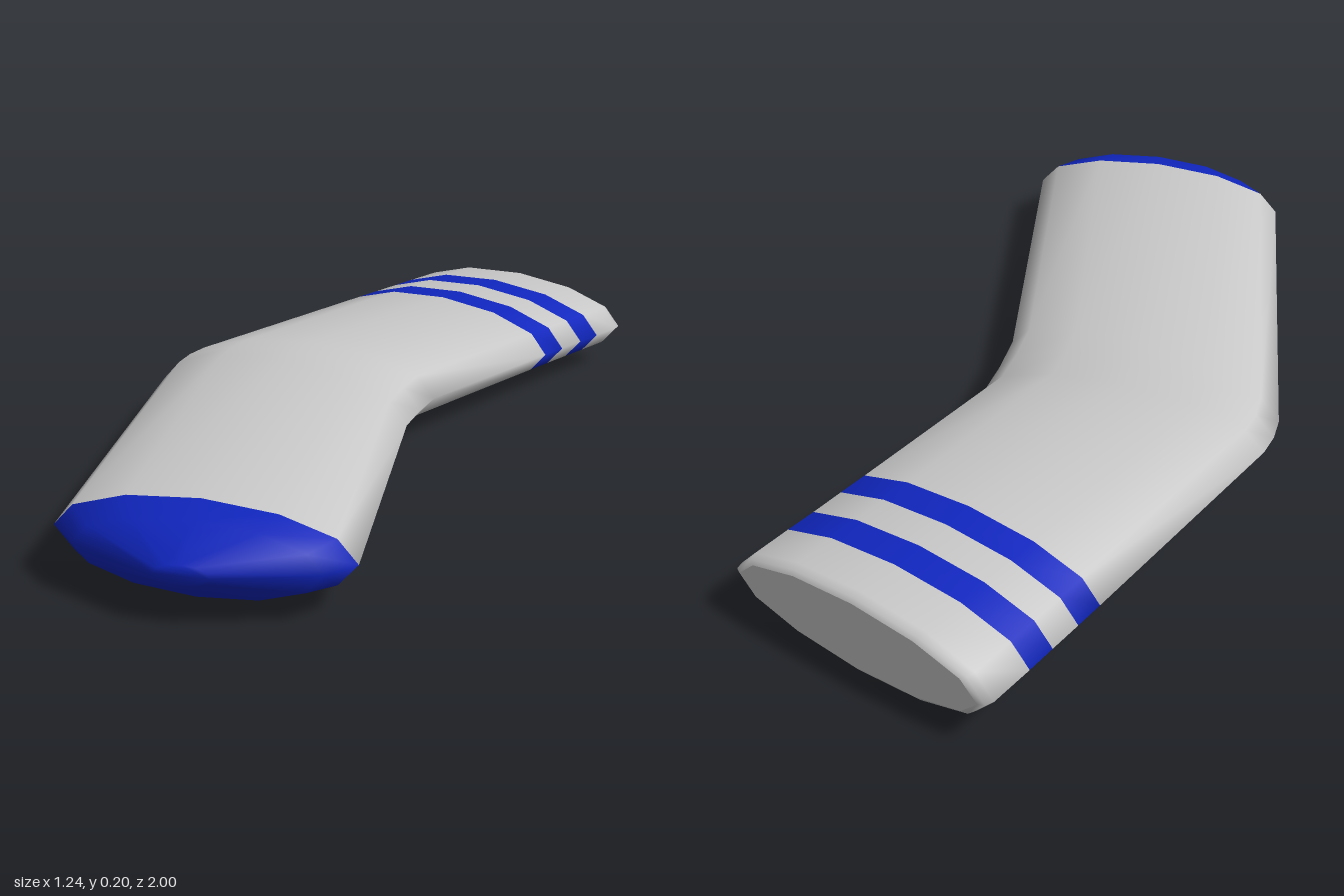
import * as THREE from 'three';

const SIDES = 12;
const MID_Y = 0.1;

// Each station: right edge (x, z), left edge (x, z), half thickness
const LEG = [
  [-0.603, -1.0, 0.025, -1.0, 0.08],
  [-0.617, -0.993, 0.039, -0.993, 0.09],
  [-0.623, -0.975, 0.045, -0.975, 0.095],
  [-0.619, -0.865, 0.048, -0.88, 0.095],
  [-0.615, -0.79, 0.049, -0.805, 0.095],
  [-0.611, -0.705, 0.052, -0.72, 0.095],
  [-0.607, -0.63, 0.054, -0.645, 0.095],
  [-0.57, 0.01, 0.07, -0.18, 0.097],
  [-0.556, 0.07, 0.105, -0.085, 0.098],
  [-0.53, 0.13, 0.152, 0.02, 0.097],
  [0.02, 0.955, 0.617, 0.715, 0.095],
];
const TOE = [
  [0.02, 0.955, 0.617, 0.715, 0.095],
  [0.12, 0.995, 0.603, 0.80, 0.078],
  [0.35, 0.998, 0.455, 0.95, 0.022],
];

// Elliptical rings lofted through the stations, with shared smooth normals
function loft(stations) {
  const pos = [];
  for (const [ax, az, bx, bz, h] of stations) {
    for (let j = 0; j < SIDES; j++) {
      const a = (j / SIDES) * Math.PI * 2;
      const t = (1 + Math.cos(a)) / 2;
      pos.push(ax + (bx - ax) * t, MID_Y + h * Math.sin(a), az + (bz - az) * t);
    }
  }
  const geo = new THREE.BufferGeometry();
  geo.setAttribute('position', new THREE.Float32BufferAttribute(pos, 3));
  return geo;
}

// Faces between two stations
function wall(from, to) {
  const index = [];
  for (let i = from; i < to; i++) {
    for (let j = 0; j < SIDES; j++) {
      const k = (j + 1) % SIDES;
      const a = i * SIDES + j, b = i * SIDES + k;
      index.push(a, b, b + SIDES, a, b + SIDES, a + SIDES);
    }
  }
  return index;
}

// Flat fan closing a ring
function fan(ring, facesFront) {
  const index = [], s = ring * SIDES;
  for (let j = 1; j < SIDES - 1; j++) {
    index.push(s, ...(facesFront ? [s + j, s + j + 1] : [s + j + 1, s + j]));
  }
  return index;
}

export function createModel() {
  const grey = new THREE.MeshStandardMaterial({ color: 0xc8c8c8 });
  grey.name = 'light grey';
  const blue = new THREE.MeshStandardMaterial({ color: 0x1026c0 });
  blue.name = 'blue';

  const sock = new THREE.Group();
  sock.name = 'sock';
  const add = (name, geo, material) => {
    const mesh = new THREE.Mesh(geo, material);
    mesh.name = name;
    sock.add(mesh);
  };

  // Leg and foot tube, cut into bands that share normals
  const tube = loft(LEG);
  tube.setIndex(wall(0, LEG.length - 1));
  tube.computeVertexNormals();
  const bands = [
    ['cuffEdge', 0, 3, grey],
    ['upperStripe', 3, 4, blue],
    ['cuffBand', 4, 5, grey],
    ['lowerStripe', 5, 6, blue],
    ['legAndFoot', 6, LEG.length - 1, grey],
  ];
  for (const [name, from, to, material] of bands) {
    const band = tube.clone();
    band.setIndex(wall(from, to));
    add(name, band, material);
  }

  // Flat closed end of the cuff
  const end = loft(LEG.slice(0, 1));
  end.setIndex(fan(0, false));
  end.computeVertexNormals();
  add('cuffEnd', end, grey);

  // Rounded toe cap
  const toe = loft(TOE);
  toe.setIndex([...wall(0, TOE.length - 1), ...fan(TOE.length - 1, true)]);
  toe.computeVertexNormals();
  add('toeCap', toe, blue);

  return sock;
}
